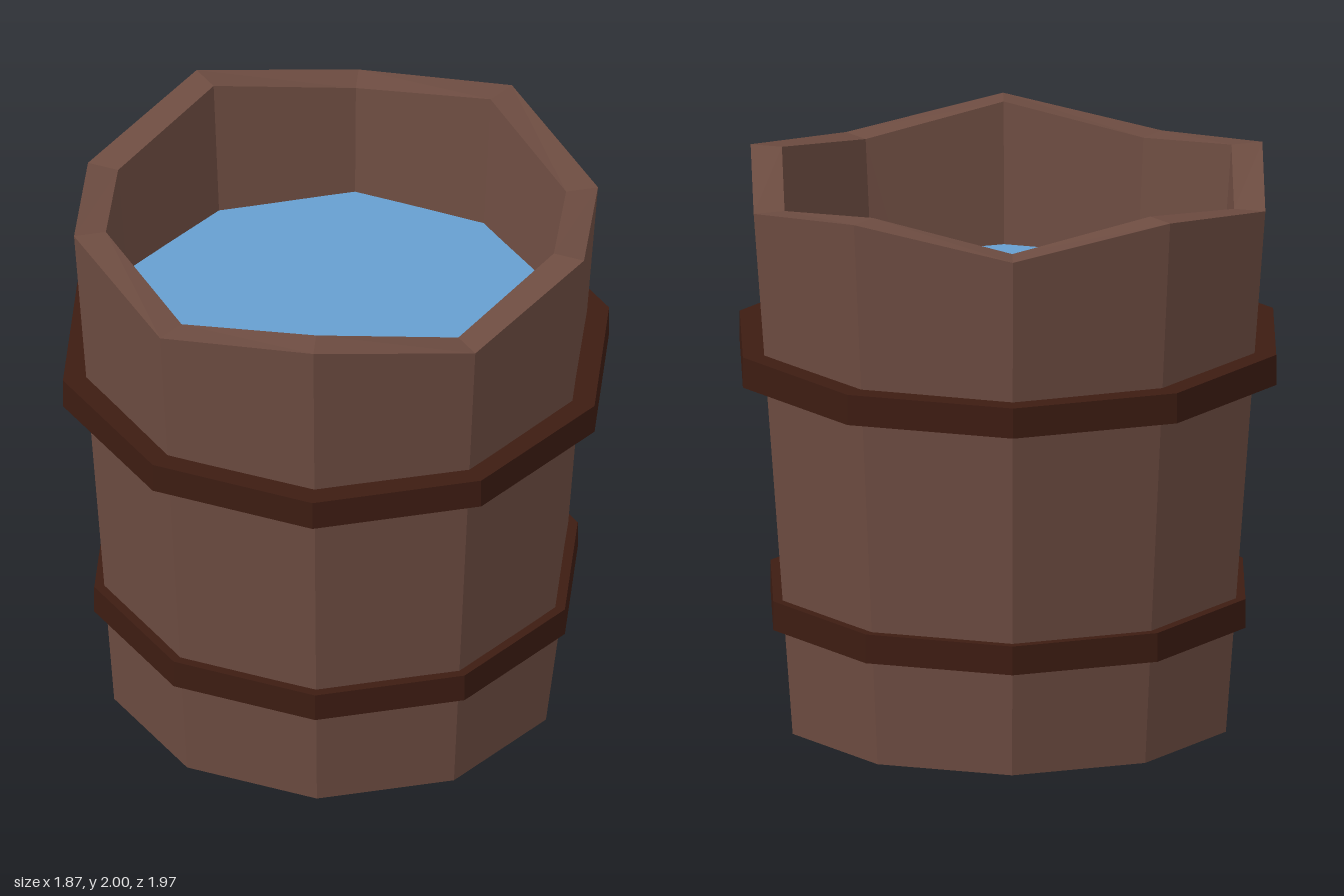
import * as THREE from 'three';

const SIDES = 10;

function turned(name, profile, color) {
  const points = profile.map(([r, y]) => new THREE.Vector2(r, y));
  const material = new THREE.MeshStandardMaterial({ color, flatShading: true });
  const mesh = new THREE.Mesh(new THREE.LatheGeometry(points, SIDES), material);
  mesh.name = name;
  return mesh;
}

// Square-section band with vertical sides
function hoop(name, inner, outer, bottom, top) {
  return turned(name, [
    [inner, bottom], [outer, bottom], [outer, top], [inner, top], [inner, bottom],
  ], 0x3d1c12);
}

export function createModel() {
  const group = new THREE.Group();
  group.name = 'waterBucket';

  // Tapered hollow body with a floor
  const body = turned('woodenBody', [
    [0, 0], [0.8, 0], [0.945, 2], [0.83, 2], [0.695, 0.12], [0, 0.12],
  ], 0x6d4c41);

  // Lower every second rim corner for the zigzag edge
  const pos = body.geometry.attributes.position;
  for (let i = 0; i < pos.count; i++) {
    if (pos.getY(i) < 1.99) continue;
    const corner = Math.round(Math.atan2(pos.getX(i), pos.getZ(i)) / (Math.PI * 2 / SIDES));
    if (Math.abs(corner) % 2 === 1) pos.setY(i, 1.91);
  }
  body.geometry.computeVertexNormals();
  group.add(body);

  // Hoops
  group.add(hoop('upperHoop', 0.88, 0.985, 1.28, 1.39));
  group.add(hoop('lowerHoop', 0.81, 0.872, 0.385, 0.49));

  // Water surface, with corners aligned to the body
  const water = new THREE.Mesh(
    new THREE.CircleGeometry(0.797, SIDES, Math.PI / 2),
    new THREE.MeshStandardMaterial({ color: 0x679fd0, flatShading: true }),
  );
  water.name = 'water';
  water.rotation.x = -Math.PI / 2;
  water.position.y = 1.49;
  group.add(water);

  return group;
}
